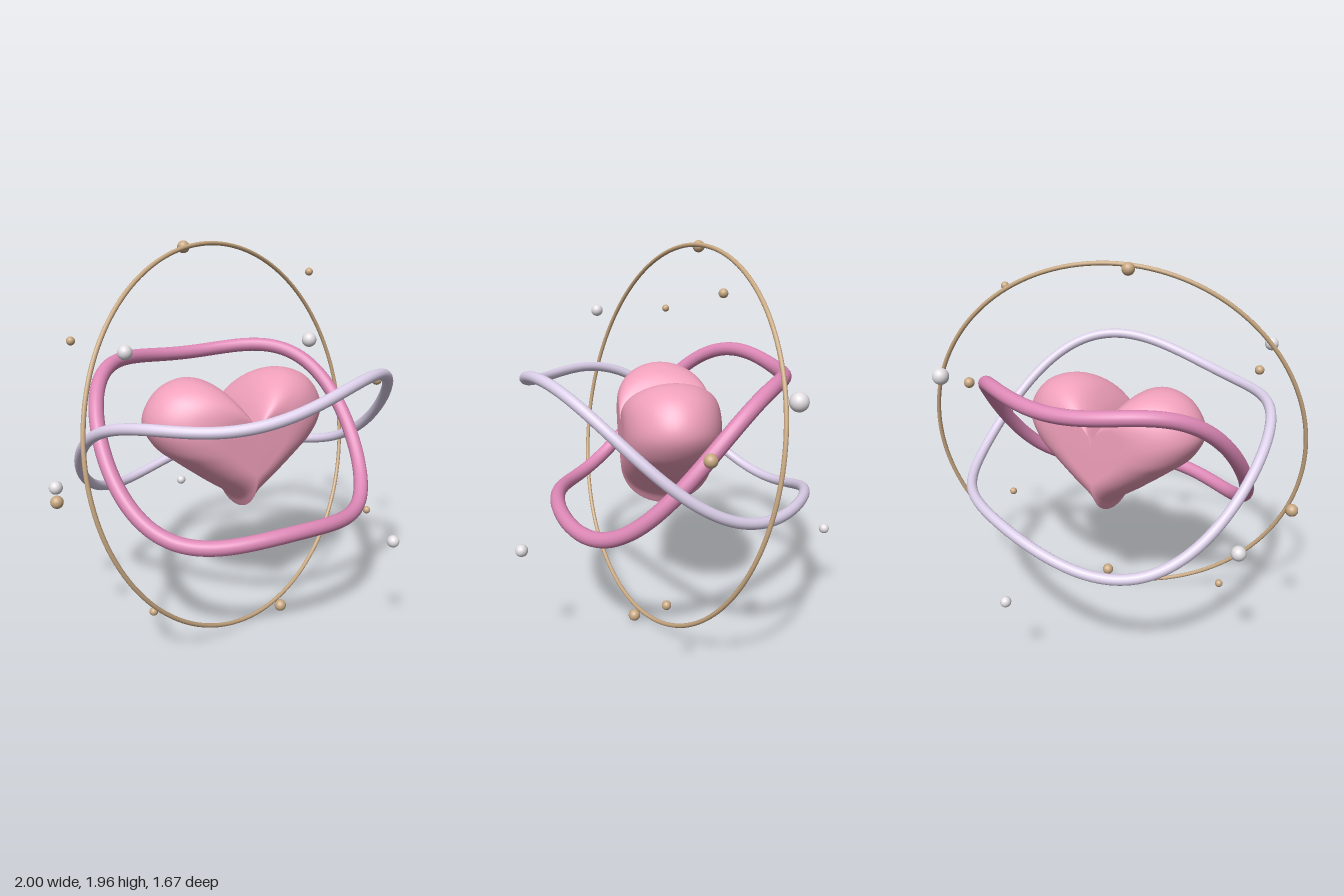
import * as THREE from 'three';
import { ParametricGeometry } from 'three/addons/geometries/ParametricGeometry.js';

const CY = 0.982, CZ = 0.045;

const paint = (color) => new THREE.MeshStandardMaterial({ color });
const spline = (pts) => new THREE.CatmullRomCurve3(pts.map(([x, y]) => new THREE.Vector3(x, y, 0)));

// Half heart: outlines from the cleft over the lobe to the tip
const rim = spline([[0, 1.08], [0.06, 1.19], [0.15, 1.28], [0.27, 1.31], [0.4, 1.27], [0.48, 1.18],
  [0.5, 1.09], [0.44, 0.975], [0.34, 0.89], [0.19, 0.775], [0.035, 0.66], [0, 0.6]]);
const face = spline([[0, 1.05], [0.03, 1.1], [0.08, 1.13], [0.12, 1.13], [0.16, 1.11], [0.18, 1.07],
  [0.18, 1.03], [0.16, 0.98], [0.12, 0.93], [0.07, 0.88], [0.02, 0.84], [0, 0.83]]);

function heartHalf(side) {
  const rows = 30;
  const a = new THREE.Vector3(), b = new THREE.Vector3();
  const geo = new ParametricGeometry((u, v, out) => {
    const t = THREE.MathUtils.clamp(side > 0 ? u : 1 - u, 0, 1);
    const row = Math.round(v * rows);
    const phi = THREE.MathUtils.clamp((row - 1) / (rows - 2), 0, 1) * Math.PI;
    // First and last rows close the front and back faces
    if (row <= 0 || row >= rows) a.set(0, 0.98, 0);
    else a.copy(face.getPoint(t, a)).lerp(rim.getPoint(t, b), Math.sin(phi));
    out.set(side * Math.max(0, a.x), a.y, CZ + 0.245 * Math.cos(phi));
  }, 66, rows);
  geo.computeVertexNormals();
  return geo;
}

// Closed ribbon tube: an ellipse from above whose height waves around it
function waveTube(rx, rz, radius, height) {
  const pts = [];
  for (let i = 0; i < 64; i++) {
    const t = (i / 64) * Math.PI * 2;
    pts.push(new THREE.Vector3(rx * Math.cos(t), CY + height(t), CZ + rz * Math.sin(t)));
  }
  return new THREE.TubeGeometry(new THREE.CatmullRomCurve3(pts, true), 200, radius, 16, true);
}

export function createModel() {
  const model = new THREE.Group();
  const add = (name, geo, mat, parent = model) => {
    const mesh = new THREE.Mesh(geo, mat);
    mesh.name = name;
    parent.add(mesh);
    return mesh;
  };

  // Puffed heart
  const heart = new THREE.Group();
  heart.name = 'heart';
  model.add(heart);
  const heartPink = paint(0xf0a0bb);
  add('heartLeftHalf', heartHalf(1), heartPink, heart);
  add('heartRightHalf', heartHalf(-1), heartPink, heart);

  // Waving bands
  add('pinkBand', waveTube(0.715, 0.582, 0.038,
    (t) => -0.41 * Math.sin(t) - 0.08 * Math.sin(3 * t)), paint(0xdd88b6));
  add('lilacBand', waveTube(0.805, 0.715, 0.027,
    (t) => 0.367 * Math.sin(t) + 0.09 * Math.sin(3 * t - Math.PI / 3)), paint(0xdcd0ea));

  // Thin tilted hoop
  const gold = paint(0xc8a882);
  const hoop = add('goldHoop', new THREE.TorusGeometry(0.98, 0.011, 12, 160), gold);
  hoop.position.set(0, CY, CZ);
  hoop.quaternion.setFromUnitVectors(new THREE.Vector3(0, 0, 1),
    new THREE.Vector3(0.34, 0.194, 0.92).normalize());

  // Beads: x, y, z, radius
  const beads = (name, mat, list) => list.forEach(([x, y, z, r]) =>
    add(name, new THREE.SphereGeometry(r, 24, 16), mat).position.set(x, y, z));
  beads('goldBead', gold, [
    [-0.18, 1.93, -0.15, 0.031], [0.175, 0.035, 0.25, 0.031],
    [0.965, 1.155, 0.01, 0.031], [-0.97, 0.81, 0.08, 0.031],
    [0.56, 1.775, -0.12, 0.021], [-0.81, 1.53, -0.07, 0.021],
    [0.81, 0.435, 0.17, 0.021], [-0.56, 0.19, 0.22, 0.021],
  ]);
  beads('pearl', paint(0xe2dee2), [
    [-0.71, 1.54, 0.35, 0.033], [0.78, 1.335, -0.41, 0.044], [-0.86, 0.73, -0.305, 0.036],
    [0.45, 0.58, 0.805, 0.03], [0.1, 0.43, -0.81, 0.027],
  ]);
  return model;
}
